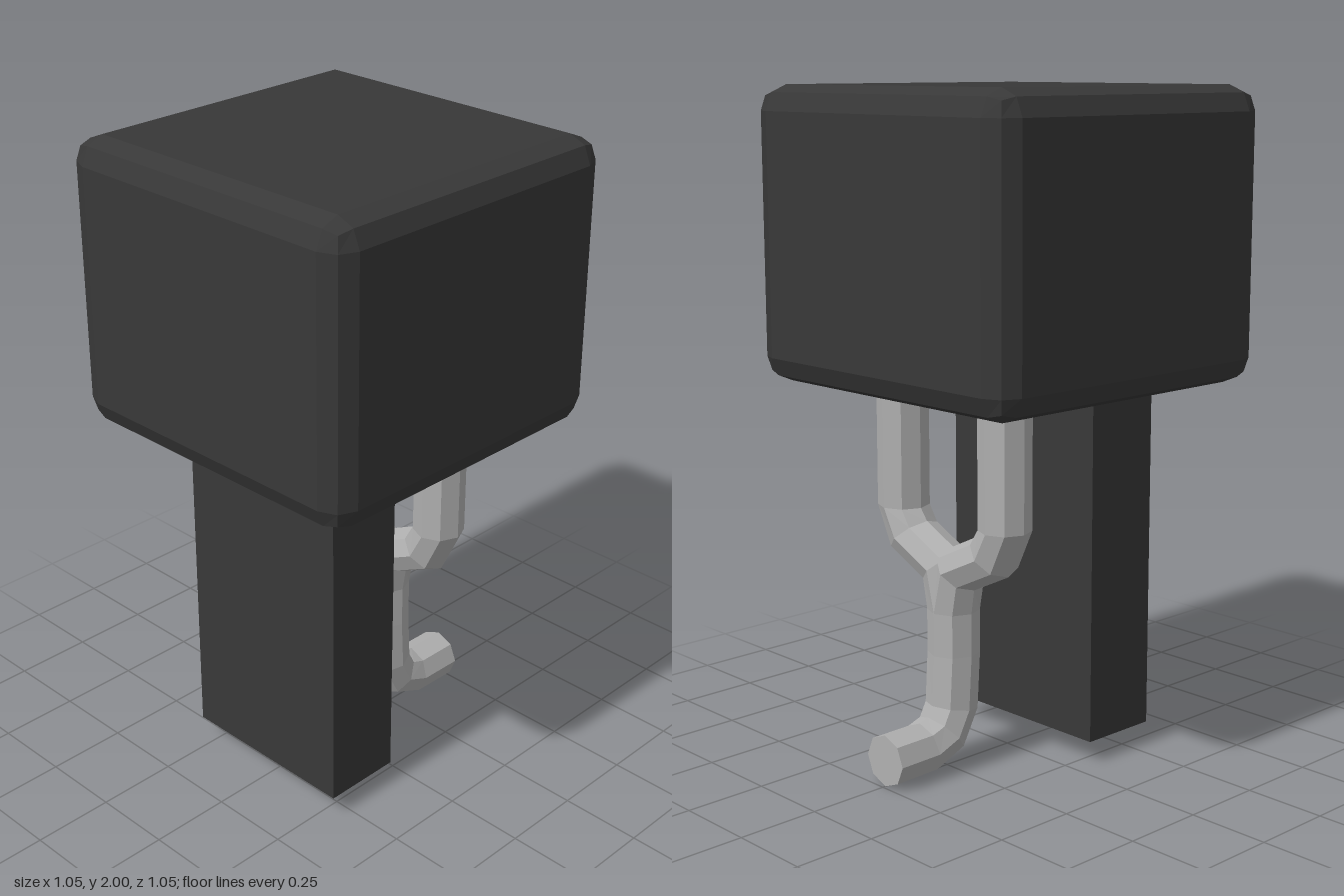
import * as THREE from 'three';
import { RoundedBoxGeometry } from 'three/addons/geometries/RoundedBoxGeometry.js';

const SIDES = 8;
const PIPE_RADIUS = 0.078;

// Octagonal pipe running downward in the local xy plane.
// Each station is [x, y, tilt of its ring in degrees]; the last ring is capped.
function pipeGeometry(stations) {
  const positions = [];
  const index = [];
  for (const [x, y, tilt] of stations) {
    const t = THREE.MathUtils.degToRad(tilt);
    for (let k = 0; k < SIDES; k++) {
      const a = (k / SIDES) * Math.PI * 2;
      const out = Math.cos(a) * PIPE_RADIUS;
      positions.push(x + out * Math.cos(t), y - out * Math.sin(t), Math.sin(a) * PIPE_RADIUS);
    }
  }
  const last = (stations.length - 1) * SIDES;
  for (let i = 0; i < last; i += SIDES) {
    for (let k = 0; k < SIDES; k++) {
      const n = (k + 1) % SIDES;
      index.push(i + k, i + n, i + SIDES + k, i + n, i + SIDES + n, i + SIDES + k);
    }
  }
  for (let k = 1; k < SIDES - 1; k++) index.push(last, last + k, last + k + 1);

  const geometry = new THREE.BufferGeometry();
  geometry.setAttribute('position', new THREE.Float32BufferAttribute(positions, 3));
  geometry.setIndex(index);
  const flat = geometry.toNonIndexed();
  flat.computeVertexNormals();
  return flat;
}

export function createModel() {
  const model = new THREE.Group();
  model.name = 'pipedBlock';

  const dark = new THREE.MeshStandardMaterial({ color: 0x383838, flatShading: true });
  dark.name = 'charcoal';
  const grey = new THREE.MeshStandardMaterial({ color: 0xb0b0b0, flatShading: true });
  grey.name = 'light grey';

  const add = (parent, name, geometry, material) => {
    const mesh = new THREE.Mesh(geometry, material);
    mesh.name = name;
    parent.add(mesh);
    return mesh;
  };

  // Bevelled head
  add(model, 'head', new RoundedBoxGeometry(1.05, 0.865, 1.05, 1, 0.075), dark)
    .position.set(0, 1.5675, 0);

  // Rectangular post hanging from the front half of the head
  add(model, 'post', new THREE.BoxGeometry(0.59, 1.13, 0.25), dark)
    .position.set(0, 0.635, 0.185);

  // Y-shaped pipe behind the post
  const pipe = new THREE.Group();
  pipe.name = 'forkedPipe';
  pipe.position.z = -0.22;
  model.add(pipe);

  // Two branches curving in to the middle
  const branch = pipeGeometry([
    [0.22, 1.18, 0], [0.22, 0.76, 0], [0.175, 0.675, 40], [0.03, 0.605, 40], [0, 0.48, 0],
  ]);
  add(pipe, 'leftBranch', branch, grey);
  add(pipe, 'rightBranch', branch, grey).rotation.y = Math.PI;

  // Stem bending backward into the outlet
  const stem = pipeGeometry([
    [0, 0.48, 0], [0, 0.35, 0], [-0.01, 0.185, 10], [-0.05, 0.11, 47],
    [-0.125, 0.08, 82], [-0.27, 0.078, 90],
  ]);
  add(pipe, 'stem', stem, grey).rotation.y = -Math.PI / 2;

  return model;
}
